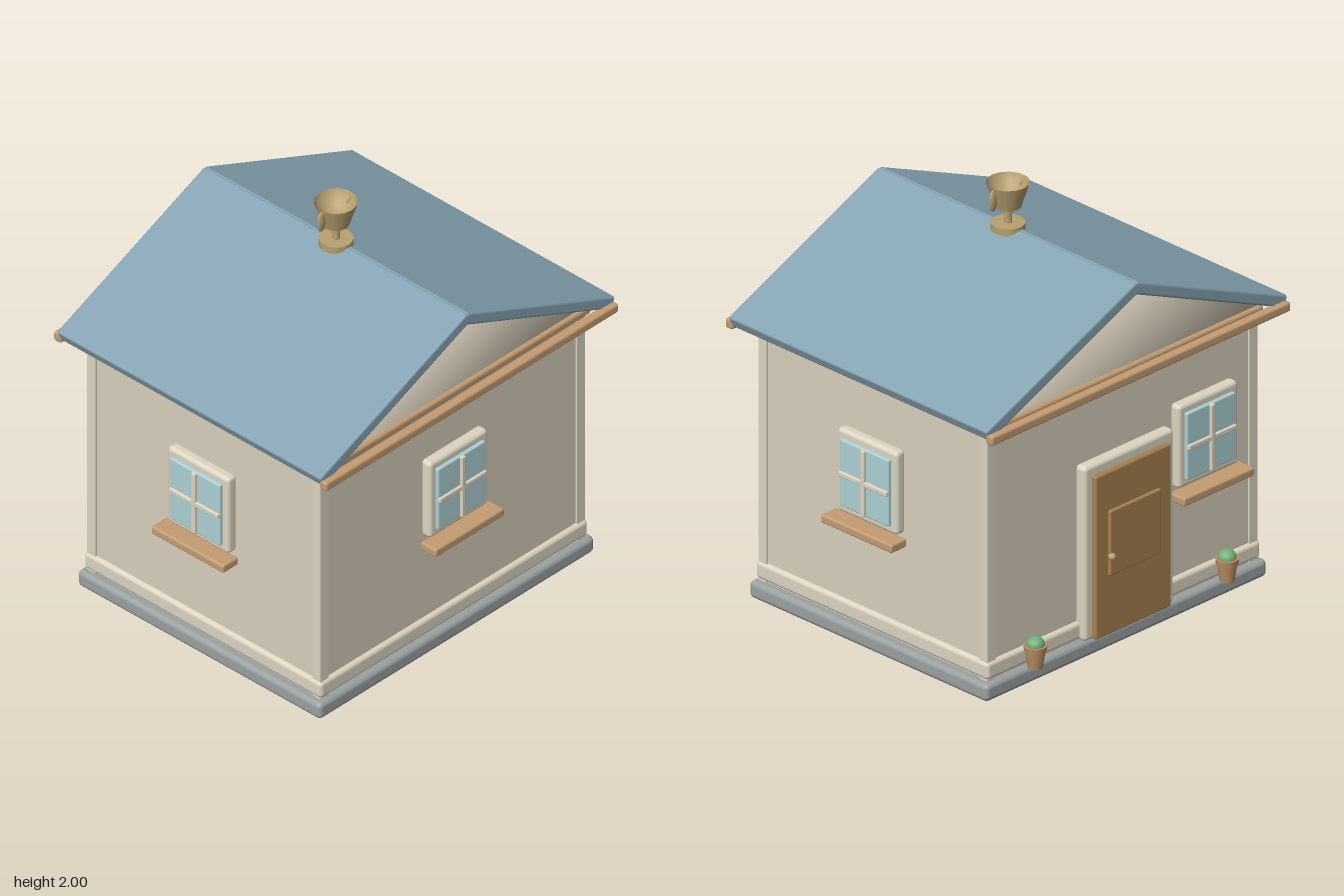
import * as THREE from 'three';
import { RoundedBoxGeometry } from 'three/addons/geometries/RoundedBoxGeometry.js';

const mat = (color, side = THREE.FrontSide) => new THREE.MeshStandardMaterial({ color, side });
const WALL = mat(0xd8cfbc), TRIM = mat(0xddd5c2), STONE = mat(0x9aa0a0), ROOF = mat(0x86a3b3);
const WOOD = mat(0xc49c72), DOOR = mat(0xa5804f), GLASS = mat(0xadd0d4), CLAY = mat(0xb98d63);
const LEAF = mat(0x72b07a), BRASS = mat(0xb8a070, THREE.DoubleSide);

function add(parent, name, geometry, material, x = 0, y = 0, z = 0) {
  const mesh = new THREE.Mesh(geometry, material);
  mesh.name = name;
  mesh.position.set(x, y, z);
  parent.add(mesh);
  return mesh;
}

// Rounded box given by its extents on each axis
function block(parent, name, material, [x0, x1], [y0, y1], [z0, z1], r = 0.01) {
  const geo = new RoundedBoxGeometry(x1 - x0, y1 - y0, z1 - z0, 3, r);
  return add(parent, name, geo, material, (x0 + x1) / 2, (y0 + y1) / 2, (z0 + z1) / 2);
}

function group(parent, name) {
  const g = new THREE.Group();
  g.name = name;
  parent.add(g);
  return g;
}

// Window facing +z, with z = 0 on the outside of the wall
function makeWindow(parent, name) {
  const g = group(parent, name);
  block(g, 'windowFrame', TRIM, [-0.187, 0.187], [0.63, 1.04], [-0.02, 0.04], 0.02);
  block(g, 'windowGlass', GLASS, [-0.152, 0.152], [0.67, 1.0], [0.02, 0.057], 0.008);
  block(g, 'verticalBar', TRIM, [-0.013, 0.013], [0.672, 0.998], [0.04, 0.071], 0.006);
  block(g, 'horizontalBar', TRIM, [-0.15, 0.15], [0.82, 0.846], [0.04, 0.069], 0.006);
  block(g, 'windowSill', WOOD, [-0.22, 0.22], [0.58, 0.622], [0.01, 0.107], 0.01);
  return g;
}

// Triangular prism with shared corners, so its shading is soft
function gableGeometry(w, y0, y1, d) {
  const geo = new THREE.BufferGeometry();
  geo.setAttribute('position', new THREE.Float32BufferAttribute([
    -w, y0, d, w, y0, d, 0, y1, d,
    -w, y0, -d, w, y0, -d, 0, y1, -d], 3));
  geo.setIndex([
    0, 1, 2, 4, 3, 5,      // ends
    0, 3, 1, 1, 3, 4,      // underside
    0, 2, 5, 0, 5, 3,      // left slope
    1, 4, 2, 4, 5, 2]);    // right slope
  geo.computeVertexNormals();
  return geo;
}

function lathe(points, segments) {
  return new THREE.LatheGeometry(points.map(([r, y]) => new THREE.Vector2(r, y)), segments);
}

export function createModel() {
  const house = new THREE.Group();
  house.name = 'house';

  // Base, walls and trim
  block(house, 'foundation', STONE, [-0.88, 0.88], [0, 0.085], [-0.74, 0.74], 0.025);
  add(house, 'walls', new THREE.BoxGeometry(1.67, 1.25, 1.4), WALL, 0, 0.705, 0);
  block(house, 'baseTrim', TRIM, [-0.855, 0.855], [0.095, 0.18], [-0.722, 0.722], 0.02);
  block(house, 'topTrim', WOOD, [-0.87, 0.87], [1.297, 1.34], [-0.728, 0.728], 0.015);
  for (const sx of [-1, 1]) for (const sz of [-1, 1]) {
    add(house, 'cornerPost', new THREE.BoxGeometry(0.05, 1.24, 0.05), TRIM, sx * 0.82, 0.7, sz * 0.685);
  }

  // Roof
  add(house, 'gable', gableGeometry(0.88, 1.33, 1.722, 0.71), WALL);
  const tilt = 0.405;
  for (const s of [-1, 1]) {
    const slab = add(house, 'roofSlab', new RoundedBoxGeometry(1.028, 0.06, 1.605, 3, 0.012), ROOF, s * 0.461, 1.56, 0);
    slab.rotation.z = -s * tilt;
    block(house, 'fascia', WOOD, [-0.935, 0.935], [1.32, 1.367], [s * 0.808 - 0.023, s * 0.808 + 0.023], 0.012);
  }

  // Windows: front, both sides, and beside the door
  makeWindow(house, 'frontWindow').position.z = 0.71;
  for (const s of [-1, 1]) {
    const w = makeWindow(house, 'sideWindow');
    w.position.x = s * 0.845;
    w.rotation.y = s * Math.PI / 2;
  }
  const backWindow = makeWindow(house, 'backWindow');
  backWindow.position.set(-0.5, 0, -0.71);
  backWindow.rotation.y = Math.PI;

  // Door on the back wall
  const door = group(house, 'door');
  block(door, 'doorFrame', TRIM, [-0.28, 0.28], [0.09, 0.95], [-0.755, -0.69], 0.02);
  block(door, 'doorLeaf', DOOR, [-0.235, 0.235], [0.095, 0.9], [-0.78, -0.73], 0.01);
  block(door, 'doorPanel', DOOR, [-0.16, 0.16], [0.39, 0.71], [-0.795, -0.76], 0.008);
  add(door, 'doorKnob', new THREE.SphereGeometry(0.018, 16, 12), BRASS, 0.15, 0.485, -0.795);

  // Potted plants either side of the door
  for (const s of [-1, 1]) {
    const pot = group(house, 'pottedPlant');
    pot.position.set(s * 0.6, 0.09, -0.765);
    add(pot, 'pot', new THREE.CylinderGeometry(0.046, 0.034, 0.09, 16), CLAY, 0, 0.045, 0);
    add(pot, 'potRim', new THREE.CylinderGeometry(0.053, 0.05, 0.028, 16), CLAY, 0, 0.096, 0);
    add(pot, 'plant', new THREE.SphereGeometry(0.042, 16, 10), LEAF, 0, 0.115, 0).scale.y = 0.85;
  }

  // Cup ornament on the ridge
  const cup = group(house, 'ridgeCup');
  add(cup, 'cupBase', new THREE.CylinderGeometry(0.078, 0.078, 0.034, 16), BRASS, 0, 1.785, 0);
  add(cup, 'cupStem', new THREE.CylinderGeometry(0.019, 0.019, 0.1, 12), BRASS, 0, 1.84, 0);
  add(cup, 'cupOuter', lathe([[0, 1.878], [0.06, 1.88], [0.06, 1.88], [0.098, 2]], 14), BRASS);
  add(cup, 'cupInner', lathe([[0.098, 2], [0.085, 1.965], [0.058, 1.935], [0.03, 1.92], [0, 1.915]], 14), BRASS);
  for (const s of [-1, 1]) {
    add(cup, 'cupHandle', new THREE.SphereGeometry(1, 14, 10), BRASS, s * 0.094, 1.938, 0).scale.set(0.025, 0.053, 0.012);
  }
  return house;
}
